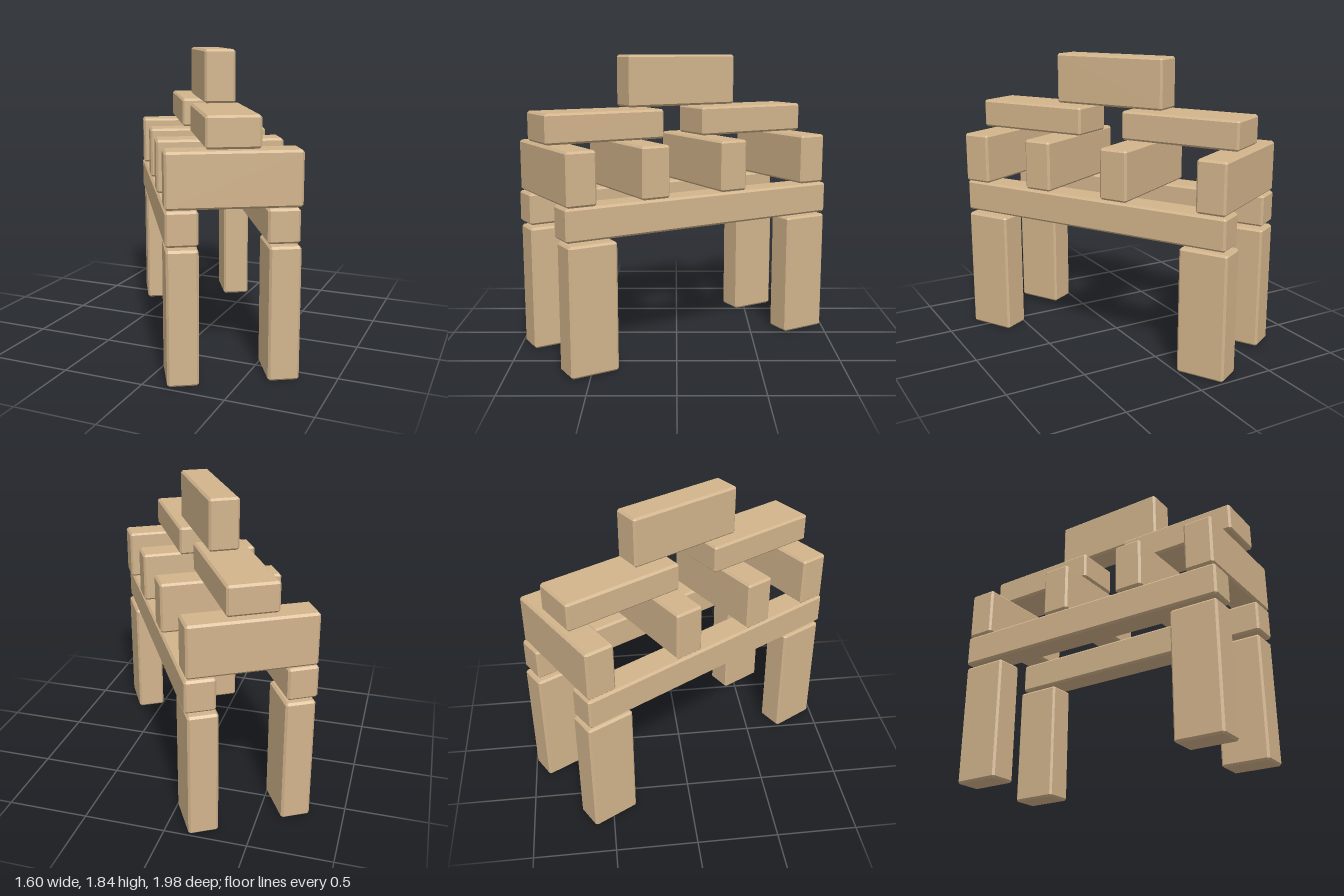
import * as THREE from 'three';
import { ConvexGeometry } from 'three/addons/geometries/ConvexGeometry.js';

const CHAMFER = 0.013;

// Box with every edge cut flat: three points around each of the eight corners
function chamferedBox(w, h, d, c = CHAMFER) {
  const points = [];
  for (const sx of [-1, 1]) for (const sy of [-1, 1]) for (const sz of [-1, 1]) {
    const x = w / 2, y = h / 2, z = d / 2;
    points.push(
      new THREE.Vector3(sx * x, sy * (y - c), sz * (z - c)),
      new THREE.Vector3(sx * (x - c), sy * y, sz * (z - c)),
      new THREE.Vector3(sx * (x - c), sy * (y - c), sz * z)
    );
  }
  return new ConvexGeometry(points);
}

export function createModel() {
  const model = new THREE.Group();
  model.name = 'blockStack';
  const wood = new THREE.MeshStandardMaterial({ color: 0xd2b48c, flatShading: true });

  // The whole stack stands turned on its base
  const stack = new THREE.Group();
  stack.name = 'stack';
  stack.rotation.y = Math.PI / 6;
  model.add(stack);

  // x runs across the stack, z along it; bottom and top are heights
  function block(name, x, z, bottom, top, width, length, turn = 0) {
    const mesh = new THREE.Mesh(chamferedBox(width, top - bottom, length), wood);
    mesh.name = name;
    mesh.position.set(x, (bottom + top) / 2, z);
    mesh.rotation.y = THREE.MathUtils.degToRad(turn);
    stack.add(mesh);
  }

  // Four upright legs
  const legs = [
    ['frontRightLeg', -0.271, 0.779], ['frontLeftLeg', 0.301, 0.768],
    ['backRightLeg', -0.296, -0.777], ['backLeftLeg', 0.276, -0.788],
  ];
  for (const [name, x, z] of legs) block(name, x, z, 0, 0.785, 0.18, 0.305);

  // Two long beams resting on the legs
  block('rightBeam', -0.29, 0.005, 0.804, 1.002, 0.183, 1.86, 1);
  block('leftBeam', 0.289, 0, 0.804, 1.002, 0.183, 1.86);

  // Four blocks on edge across the beams
  const crossBlocks = [[-0.013, -0.827], [0, -0.197], [0.003, 0.354], [0.015, 0.834]];
  crossBlocks.forEach(([x, z], i) =>
    block(`crossBlock${i + 1}`, x, z, 1.006, 1.322, 0.76, 0.185));

  // Two blocks lying flat, end to end
  block('backFlatBlock', -0.016, -0.503, 1.335, 1.515, 0.305, 0.775);
  block('frontFlatBlock', 0.004, 0.563, 1.335, 1.515, 0.305, 0.775);

  // Single block on edge at the top
  block('topBlock', 0.009, 0.005, 1.528, 1.843, 0.185, 0.76);

  return model;
}
